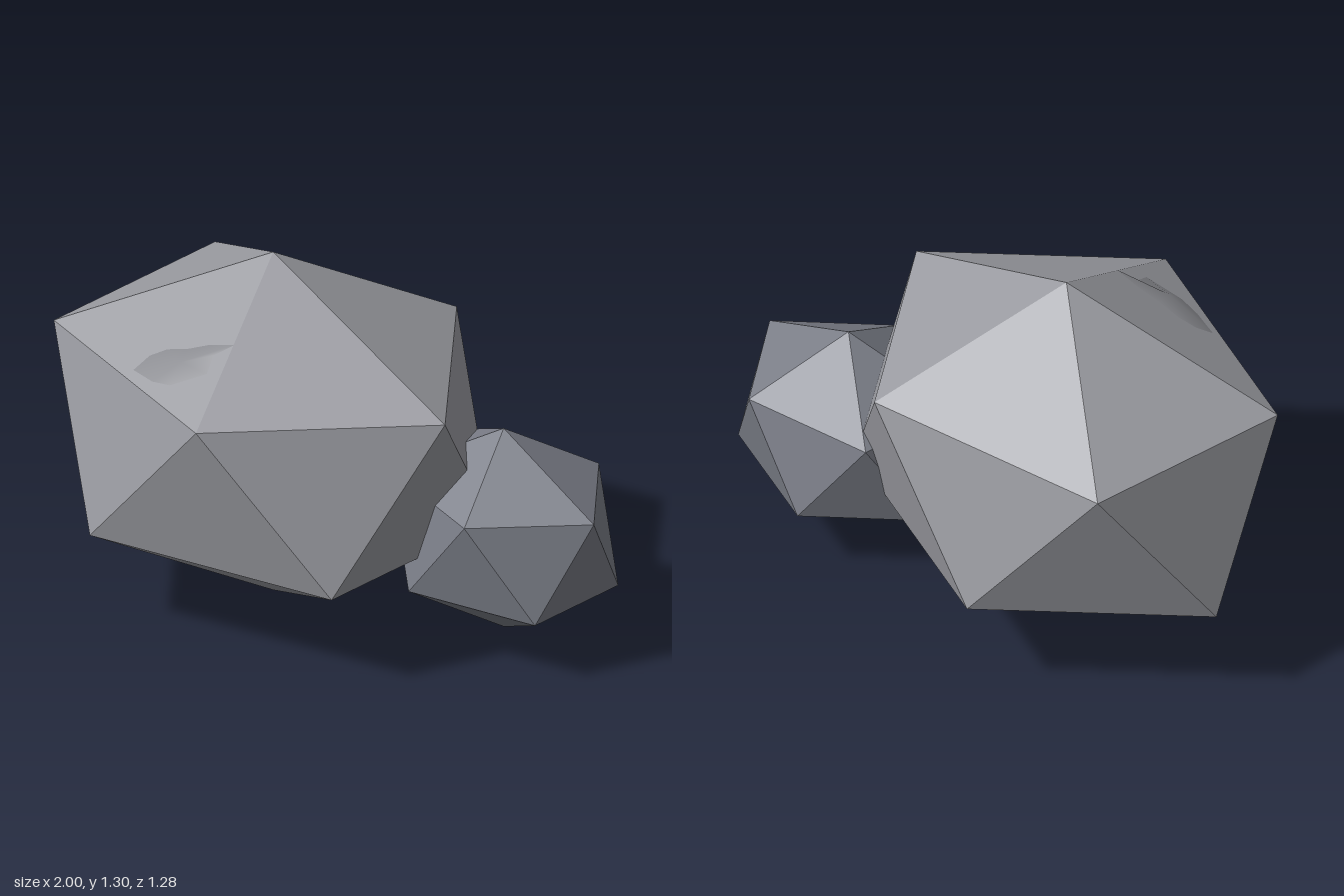
import * as THREE from 'three';
import { ConvexGeometry } from 'three/addons/geometries/ConvexGeometry.js';

// Stretched icosahedron standing on one point: two poles and two five-point rings.
function makeRock(name, color, radii, centre) {
  const points = [new THREE.Vector3(0, 1, 0), new THREE.Vector3(0, -1, 0)];
  const h = 1 / Math.sqrt(5);
  for (let i = 0; i < 10; i++) {
    const a = (i * Math.PI) / 5;
    points.push(new THREE.Vector3(2 * h * Math.cos(a), i % 2 ? -h : h, 2 * h * Math.sin(a)));
  }
  points.forEach((p) => p.multiply(radii));
  const rock = new THREE.Mesh(
    new ConvexGeometry(points),
    new THREE.MeshStandardMaterial({ color, flatShading: true })
  );
  rock.name = name;
  rock.position.copy(centre);
  return rock;
}

// Small smooth chip lying on the sloping upper front face of the large rock.
function makeChip(color) {
  const a = new THREE.Vector3(-0.19, 1.297, 0.03);
  const b = new THREE.Vector3(-0.845, 0.94, 0.42);
  const c = new THREE.Vector3(0.06, 0.94, 0.66);
  const plane = new THREE.Plane().setFromCoplanarPoints(a, b, c);
  const n = plane.normal;
  const onFace = (x, y, lift) =>
    new THREE.Vector3(x, y, -(plane.constant + n.x * x + n.y * y) / n.z).addScaledVector(n, lift);

  // Jagged outline, counter-clockwise from the front, fanned around a raised crest.
  const outline = [[-0.38, 0.96], [-0.27, 0.965], [-0.19, 0.98], [-0.08, 1.04], [-0.11, 1.075],
    [-0.06, 1.115], [-0.16, 1.085], [-0.23, 1.055], [-0.31, 1.03], [-0.36, 1.0]];
  const points = [onFace(-0.2, 1.025, 0.018), ...outline.map(([x, y]) => onFace(x, y, 0.001))];
  const index = [];
  for (let i = 0; i < outline.length; i++) index.push(0, i + 1, ((i + 1) % outline.length) + 1);
  const geometry = new THREE.BufferGeometry().setFromPoints(points);
  geometry.setIndex(index);
  geometry.computeVertexNormals();
  const chip = new THREE.Mesh(
    geometry,
    new THREE.MeshStandardMaterial({ color, side: THREE.DoubleSide })
  );
  chip.name = 'surfaceChip';
  return chip;
}

export function createModel() {
  const model = new THREE.Group();
  model.name = 'rocks';
  model.add(
    makeRock('largeRock', 0x9b9ca2, new THREE.Vector3(0.905, 0.648, 0.74), new THREE.Vector3(-0.192, 0.65, 0.03)),
    makeRock('smallRock', 0x7c7f89, new THREE.Vector3(0.475, 0.38, 0.382), new THREE.Vector3(0.572, 0.403, -0.3)),
    makeChip(0x8a8b90)
  );
  return model;
}
